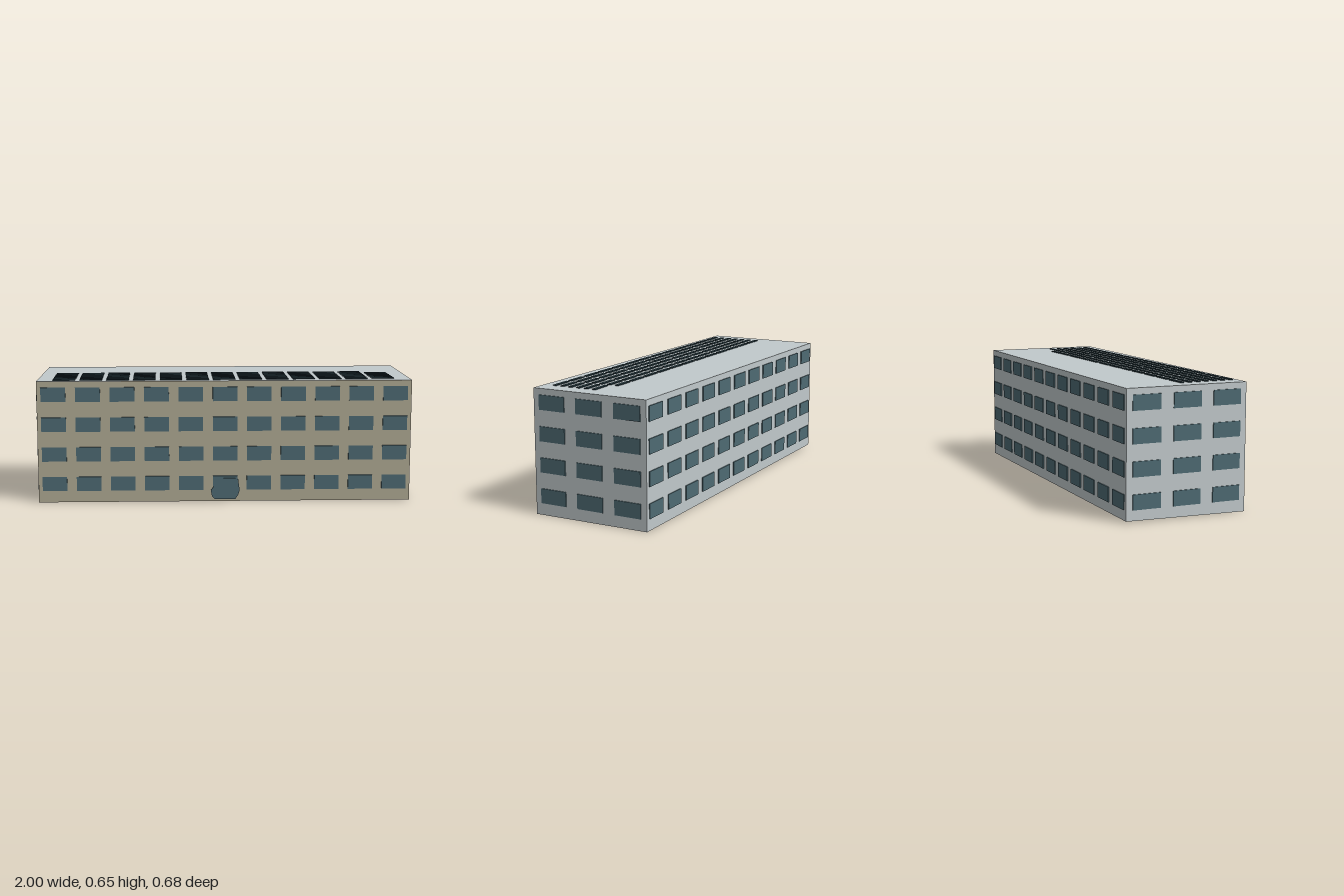
import * as THREE from 'three';

const mat = (name, color) => {
  const m = new THREE.MeshStandardMaterial({ color });
  m.name = name;
  return m;
};

export function createModel() {
  const wall = mat('pale grey wall', 0xc1c9cb);
  const tan = mat('tan facade', 0xafa993);
  const glass = mat('blue grey glass', 0x4e6a73);
  const solar = mat('dark solar panel', 0x2a3f46);

  const L = 1.98, W = 0.643, H = 0.648;
  const model = new THREE.Group();
  model.name = 'officeBlock';

  const add = (parent, geometry, material, name, x, y, z) => {
    const mesh = new THREE.Mesh(geometry, material);
    mesh.name = name;
    mesh.position.set(x, y, z);
    parent.add(mesh);
    return mesh;
  };

  // The block stands slightly turned on its plot
  const block = new THREE.Group();
  block.name = 'block';
  block.rotation.y = -0.0155;
  model.add(block);

  // Body, with the back left foot a little higher on sloping ground
  const body = new THREE.BoxGeometry(L, H, W);
  const p = body.attributes.position;
  for (let i = 0; i < p.count; i++) {
    if (p.getY(i) < 0 && p.getZ(i) < 0) p.setY(i, -H / 2 + (p.getX(i) < 0 ? 0.01 : 0.002));
  }
  body.computeVertexNormals();
  add(block, body, [wall, wall, wall, wall, tan, wall], 'walls', 0, H / 2, 0);

  // Windows: four storeys on every side, each plate set half into the wall
  const longPane = new THREE.BoxGeometry(0.13, 0.076, 0.01);
  const sidePane = new THREE.BoxGeometry(0.01, 0.076, 0.148);
  for (let row = 0; row < 4; row++) {
    const y = 0.1 + row * 0.1594;
    for (const s of [-1, 1]) {
      for (let i = -5; i <= 5; i++) {
        add(block, longPane, glass, s > 0 ? 'frontWindow' : 'backWindow', i * 0.1807, y, s * W / 2);
      }
      for (let i = -1; i <= 1; i++) {
        add(block, sidePane, glass, s > 0 ? 'leftWindow' : 'rightWindow', s * L / 2, y, i * 0.215);
      }
    }
  }

  // Entrance with an irregular outline
  const outline = [[-0.055, 0.012], [0.055, 0.012], [0.07, 0.035], [0.078, 0.06], [0.07, 0.118],
    [0.055, 0.125], [-0.055, 0.125], [-0.065, 0.075], [-0.076, 0.06], [-0.07, 0.028]];
  const doorShape = new THREE.Shape(outline.map(([x, y]) => new THREE.Vector2(x, y)));
  const door = new THREE.ExtrudeGeometry(doorShape, { depth: 0.009, bevelEnabled: false });
  add(block, door, glass, 'entrance', 0, 0, W / 2);

  // Rows of roof panels; the rearmost row is one short
  const panels = new THREE.Group();
  panels.name = 'solarPanels';
  model.add(panels);
  const panel = new THREE.BoxGeometry(0.118, 0.006, 0.019);
  for (let row = 0; row < 7; row++) {
    for (let col = 0; col < (row ? 13 : 12); col++) {
      add(panels, panel, solar, 'solarPanel', -0.853 + col * 0.1411, H + 0.002, -0.004 + row * 0.0456);
    }
  }
  return model;
}
